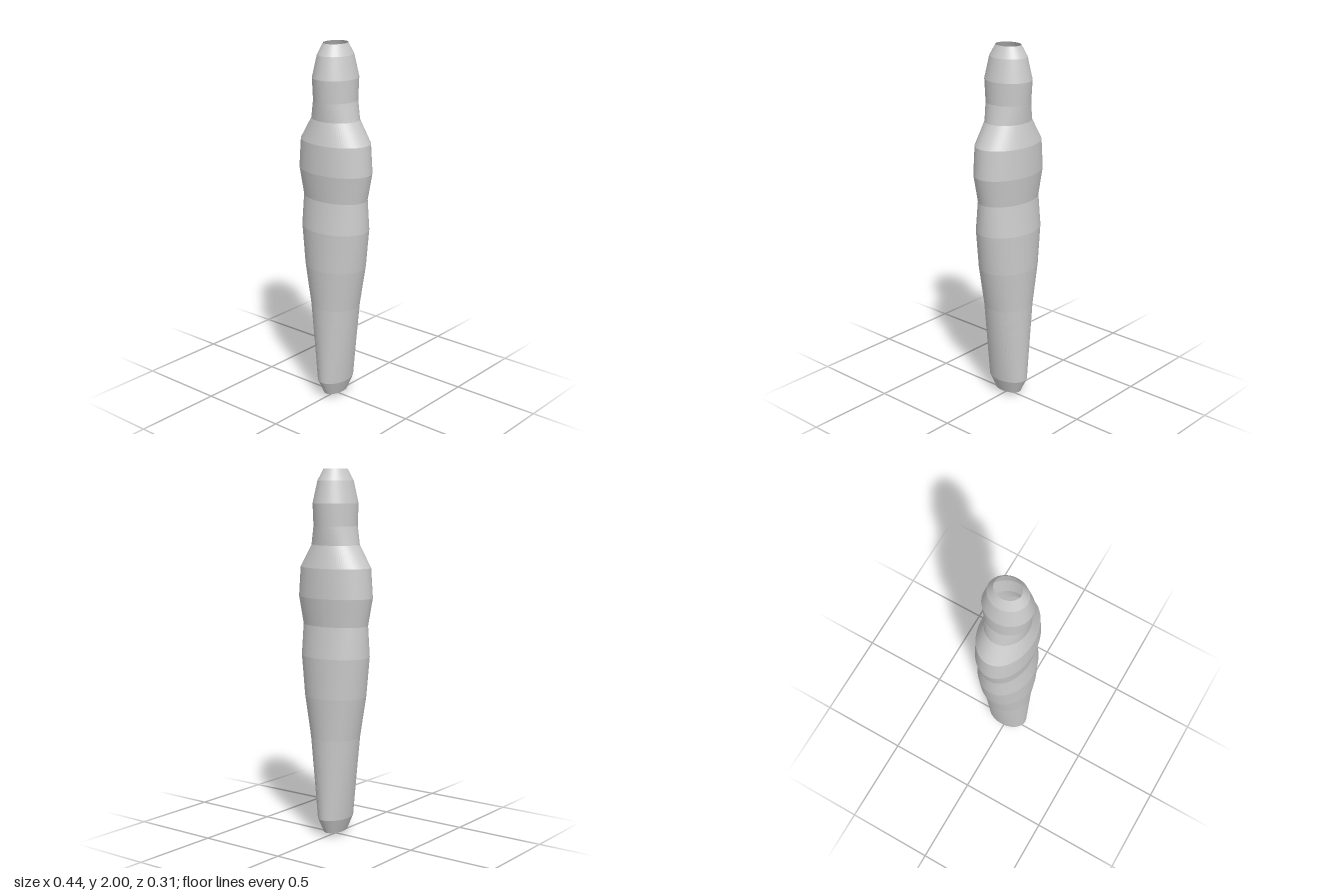
import * as THREE from 'three';

// Elliptical cross-sections from top to bottom: [height, half width x, half depth z]
const rings = [
  [2.0, 0.06, 0.072],
  [1.94, 0.09, 0.106],
  [1.82, 0.117, 0.132],
  [1.7, 0.116, 0.122],
  [1.6, 0.137, 0.115],
  [1.48, 0.21, 0.146],
  [1.32, 0.222, 0.15],
  [1.17, 0.194, 0.133],
  [1.0, 0.2, 0.153],
  [0.78, 0.176, 0.15],
  [0.55, 0.135, 0.134],
  [0.1, 0.083, 0.12],
  [0.02, 0.052, 0.083],
  [0.0, 0, 0],
];

// Loft: a unit open tube whose rows are moved onto the cross-sections
function loft(sections, sides) {
  const geometry = new THREE.CylinderGeometry(1, 1, 1, sides, sections.length - 1, true);
  const pos = geometry.attributes.position;
  for (let i = 0; i < pos.count; i++) {
    const [y, rx, rz] = sections[Math.floor(i / (sides + 1))];
    pos.setXYZ(i, pos.getX(i) * rx, y, pos.getZ(i) * rz);
  }
  const faceted = geometry.toNonIndexed();
  faceted.computeVertexNormals();
  return faceted;
}

export function createModel() {
  const group = new THREE.Group();
  // Hollow body, open at the top and closed by a shallow cone at the foot
  const material = new THREE.MeshStandardMaterial({
    color: 0xcccccc, flatShading: true, side: THREE.DoubleSide,
  });
  const body = new THREE.Mesh(loft(rings, 96), material);
  body.name = 'body';
  group.add(body);
  return group;
}
